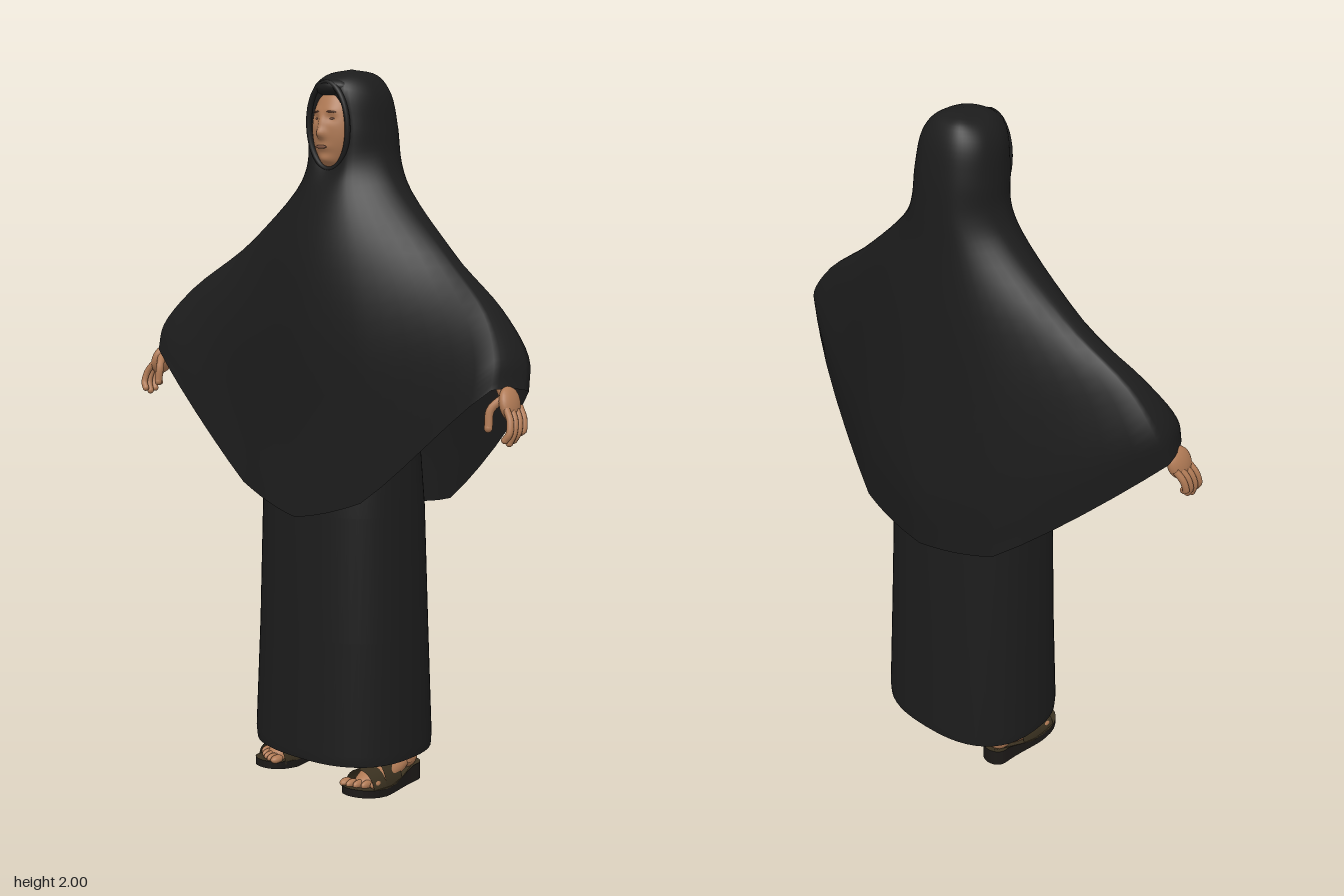
import * as THREE from 'three';

const material = (name, color, side = THREE.FrontSide) => {
  const m = new THREE.MeshStandardMaterial({ color, side });
  m.name = name;
  return m;
};
const V = (x, y, z) => new THREE.Vector3(x, y, z);

// Skin a stack of closed loops, ordered from top to bottom
function skin(loops) {
  const n = loops[0].length, pos = [], idx = [];
  loops.forEach(l => l.forEach(p => pos.push(p.x, p.y, p.z)));
  for (let r = 0; r < loops.length - 1; r++) {
    for (let i = 0; i < n; i++) {
      const j = (i + 1) % n, a = r * n + i, b = a + n, c = r * n + j, d = c + n;
      idx.push(a, b, c, c, b, d);
    }
  }
  const g = new THREE.BufferGeometry();
  g.setAttribute('position', new THREE.Float32BufferAttribute(pos, 3));
  g.setIndex(idx);
  g.computeVertexNormals();
  return g;
}

// Cape sections: front y,z | front quarter x,y,z | side front x,y,z | side back x,y,z | back quarter x,y,z | back y,z
const CAPE = [
  [1.985, 0.05, 0.04, 1.985, 0.035, 0.065, 1.98, 0.005, 0.065, 1.98, -0.045, 0.04, 1.985, -0.08, 1.985, -0.088],
  [1.96, 0.08, 0.055, 1.95, 0.072, 0.1, 1.935, 0.01, 0.1, 1.935, -0.06, 0.06, 1.94, -0.107, 1.94, -0.12],
  [1.85, 0.03, 0.073, 1.85, 0.07, 0.118, 1.84, 0.0, 0.118, 1.84, -0.07, 0.07, 1.85, -0.125, 1.85, -0.14],
  [1.735, 0.075, 0.07, 1.745, 0.075, 0.128, 1.76, 0.0, 0.128, 1.76, -0.07, 0.075, 1.75, -0.135, 1.75, -0.148],
  [1.68, 0.105, 0.08, 1.68, 0.092, 0.165, 1.69, 0.0, 0.165, 1.69, -0.06, 0.1, 1.68, -0.135, 1.65, -0.155],
  [1.5, 0.165, 0.16, 1.5, 0.135, 0.36, 1.51, 0.02, 0.36, 1.51, -0.03, 0.18, 1.5, -0.148, 1.45, -0.175],
  [1.3, 0.192, 0.22, 1.28, 0.17, 0.54, 1.37, 0.08, 0.545, 1.375, 0.0, 0.24, 1.28, -0.16, 1.2, -0.2],
  [1.0, 0.198, 0.25, 1.06, 0.178, 0.61, 1.265, 0.13, 0.632, 1.265, 0.01, 0.25, 1.03, -0.172, 0.95, -0.222],
  [0.79, 0.217, 0.22, 0.855, 0.193, 0.615, 1.195, 0.147, 0.655, 1.185, 0.04, 0.24, 0.815, -0.17, 0.77, -0.208]
];

function capeGeometry() {
  const around = 60, down = 44;
  const rows = CAPE.map(([fy, fz, ax, ay, az, px, py, pz, qx, qy, qz, bx, by, bz, ky, kz], r) => {
    const pts = [
      V(0, fy, fz), V(ax, ay, az), V(px, py, pz), V(qx, qy, qz), V(bx, by, bz),
      V(0, ky, kz), V(-bx, by, bz), V(-qx, qy, qz), V(-px, py, pz), V(-ax, ay, az)
    ];
    const c = new THREE.CatmullRomCurve3(pts, true);
    const taut = r > 5 ? 0.5 : 0; // cloth is stretched straight between the arms
    return Array.from({ length: around }, (_, i) => {
      const u = i / around * pts.length, k = Math.floor(u);
      const straight = pts[k].clone().lerp(pts[(k + 1) % pts.length], u - k);
      return c.getPoint(i / around).lerp(straight, taut);
    });
  });
  rows.unshift(rows[0].map(() => V(0, 2, -0.02))); // crown
  const columns = rows[0].map((_, i) => new THREE.CatmullRomCurve3(rows.map(r => r[i])));
  return skin(Array.from({ length: down + 1 }, (_, k) => columns.map(c => c.getPoint(k / down))));
}

// Robe sections: y, half width, front z, back z
function robeGeometry() {
  const rows = [[1.5, 0.12, 0.08, -0.09], [1.3, 0.2, 0.15, -0.12], [1.0, 0.222, 0.182, -0.155],
    [0.8, 0.235, 0.2, -0.172], [0.45, 0.245, 0.21, -0.185], [0.13, 0.256, 0.225, -0.198], [0.1, 0.254, 0.222, -0.196]];
  const bend = v => Math.sign(v) * Math.abs(v) ** 0.8;
  return skin(rows.map(([y, w, f, b]) => Array.from({ length: 48 }, (_, i) => {
    const a = i / 48 * Math.PI * 2;
    return V(w * bend(Math.sin(a)), y, (f + b) / 2 + (f - b) / 2 * bend(Math.cos(a)));
  })));
}

// Face: an oval with nose, brow, eye sockets, lips and chin pushed in or out
function faceGeometry() {
  const g = new THREE.SphereGeometry(1, 64, 64), p = g.attributes.position;
  const bump = (x, y, cx, cy, sx, sy) => Math.exp(-(((x - cx) / sx) ** 2) - ((y - cy) / sy) ** 2);
  for (let i = 0; i < p.count; i++) {
    const x = p.getX(i) * 0.07, y = p.getY(i) * 0.115 + 1.84;
    let z = p.getZ(i) * 0.065 + 0.038;
    if (z > 0.038) {
      const ax = Math.abs(x);
      z += 0.018 * bump(x, y, 0, 1.828, 0.013, 0.014) + 0.009 * bump(x, y, 0, 1.855, 0.01, 0.022)
        - 0.006 * bump(ax, y, 0.026, 1.868, 0.014, 0.011) + 0.003 * bump(ax, y, 0.025, 1.89, 0.02, 0.01)
        + 0.006 * bump(x, y, 0, 1.793, 0.022, 0.012) + 0.012 * bump(x, y, 0, 1.757, 0.026, 0.016);
    }
    p.setXYZ(i, x, y, z);
  }
  g.computeVertexNormals();
  return g;
}

export function createModel() {
  const model = new THREE.Group();
  model.name = 'robedFigure';
  const cloth = material('black cloth', 0x1c1c1c, THREE.DoubleSide);
  const skinTone = material('skin', 0xb07a55);
  const featureTone = material('lips and brows', 0x7d5340);
  const soleTone = material('sandal sole', 0x1c1917);
  const strapTone = material('sandal strap', 0x3a3120, THREE.DoubleSide);

  const add = (parent, name, geo, mat, pos = [0, 0, 0], scale = [1, 1, 1], rot = [0, 0, 0]) => {
    const m = new THREE.Mesh(geo, mat);
    m.name = name;
    m.position.set(...pos);
    m.scale.set(...scale);
    m.rotation.set(...rot);
    parent.add(m);
  };
  const ball = new THREE.SphereGeometry(1, 20, 14);
  const tube = (pts, r, closed = false) =>
    new THREE.TubeGeometry(new THREE.CatmullRomCurve3(pts.map(p => V(...p)), closed), closed ? 48 : 12, r, 10, closed);

  // Clothing
  add(model, 'cape', capeGeometry(), cloth);
  add(model, 'robe', robeGeometry(), cloth);

  // Face framed by the hood edge and the cap beneath it
  add(model, 'face', faceGeometry(), skinTone);
  const rim = Array.from({ length: 16 }, (_, i) => {
    const a = i / 16 * Math.PI * 2;
    return [0.07 * Math.sin(a), 1.848 + 0.116 * Math.cos(a), 0.076 + 0.006 * Math.cos(a)];
  });
  add(model, 'hoodEdge', tube(rim, 0.008, true), cloth);
  add(model, 'underCap', ball, cloth, [0, 1.951, 0.052], [0.06, 0.026, 0.042]);
  for (const s of [-1, 1]) {
    add(model, 'eye', ball, featureTone, [s * 0.026, 1.868, 0.0885], [0.01, 0.003, 0.004], [0, s * 0.3, 0]);
    add(model, 'eyebrow', ball, featureTone, [s * 0.027, 1.886, 0.0935], [0.015, 0.0025, 0.004], [0, s * 0.35, -s * 0.08]);
  }
  add(model, 'lips', ball, featureTone, [0, 1.793, 0.1045], [0.02, 0.005, 0.004]);

  // Limbs are built on the left and mirrored
  for (const s of [1, -1]) {
    const arm = new THREE.Group();
    arm.name = s > 0 ? 'leftArm' : 'rightArm';
    arm.scale.x = s;
    model.add(arm);
    add(arm, 'sleeve', tube([[0.13, 1.5, -0.02], [0.36, 1.36, 0.02], [0.56, 1.235, 0.075]], 0.034), cloth);
    add(arm, 'wrist', tube([[0.55, 1.235, 0.075], [0.605, 1.205, 0.088], [0.638, 1.17, 0.102]], 0.022), skinTone);
    add(arm, 'palm', ball, skinTone, [0.642, 1.16, 0.104], [0.021, 0.047, 0.04], [-0.35, 0, 0.3]);
    for (let f = 0; f < 4; f++) {
      const z = 0.075 + f * 0.019, tipY = 1.065 + [0.022, 0.006, 0, 0.01][f], tipZ = z + 0.023;
      add(arm, 'finger', tube([[0.652, 1.15, z], [0.672, 1.122, z + 0.01], [0.676, 1.09, z + 0.019],
        [0.666, tipY, tipZ]], 0.0095), skinTone);
      add(arm, 'fingertip', ball, skinTone, [0.666, tipY, tipZ], [0.0095, 0.0095, 0.0095]);
    }
    add(arm, 'thumb', tube([[0.632, 1.175, 0.12], [0.612, 1.145, 0.145], [0.612, 1.1, 0.153]], 0.011), skinTone);
    add(arm, 'thumbTip', ball, skinTone, [0.612, 1.1, 0.153], [0.011, 0.012, 0.011]);

    const leg = new THREE.Group();
    leg.name = s > 0 ? 'leftLeg' : 'rightLeg';
    leg.position.x = s * 0.17;
    leg.scale.x = s;
    model.add(leg);
    add(leg, 'shin', new THREE.CylinderGeometry(0.046, 0.037, 0.15, 20), skinTone, [0, 0.135, -0.045]);
    add(leg, 'heel', ball, skinTone, [0, 0.07, -0.055], [0.038, 0.035, 0.04]);
    add(leg, 'foot', ball, skinTone, [0, 0.05, 0.04], [0.044, 0.034, 0.115], [0.18, 0, 0]);
    for (let t = 0; t < 5; t++) {
      add(leg, 'toe', ball, skinTone, [-0.036 + t * 0.019, 0.04, 0.154 - t * t * 0.0025],
        [t ? 0.01 : 0.014, 0.012, 0.022]);
    }
    // Sandal: the sole lifts at the toe and thickens into a wedge at the heel
    const outline = new THREE.Shape();
    outline.moveTo(-0.038, 0.07);
    outline.bezierCurveTo(-0.038, 0.115, 0.038, 0.115, 0.04, 0.07);
    outline.bezierCurveTo(0.04, 0.0, 0.059, -0.05, 0.057, -0.12);
    outline.bezierCurveTo(0.049, -0.2, -0.047, -0.21, -0.053, -0.13);
    outline.bezierCurveTo(-0.055, -0.06, -0.038, -0.02, -0.038, 0.07);
    const sole = new THREE.ExtrudeGeometry(outline, { depth: 0.022, bevelEnabled: false, curveSegments: 12 });
    sole.rotateX(-Math.PI / 2);
    const p = sole.attributes.position;
    for (let i = 0; i < p.count; i++) {
      const z = p.getZ(i), top = p.getY(i) > 0.01;
      let lift = z > 0.08 ? (z - 0.08) * 0.16 : 0;
      if (top && z < 0.04) lift += Math.min(0.028, (0.04 - z) * 0.3);
      p.setY(i, p.getY(i) + lift);
    }
    sole.computeVertexNormals();
    add(leg, 'sole', sole, [strapTone, soleTone]);
    const band = (name, r0, r1, len, z, h) => {
      const g = new THREE.CylinderGeometry(r0, r1, len, 24, 1, true, Math.PI / 2, Math.PI);
      g.rotateX(Math.PI / 2);
      add(leg, name, g, strapTone, [0, 0.022, z], [1, h, 1]);
    };
    band('instepStrap', 0.052, 0.046, 0.075, 0.045, 1.45);
    band('toeStrap', 0.053, 0.052, 0.055, 0.108, 1.05);
  }
  return model;
}
